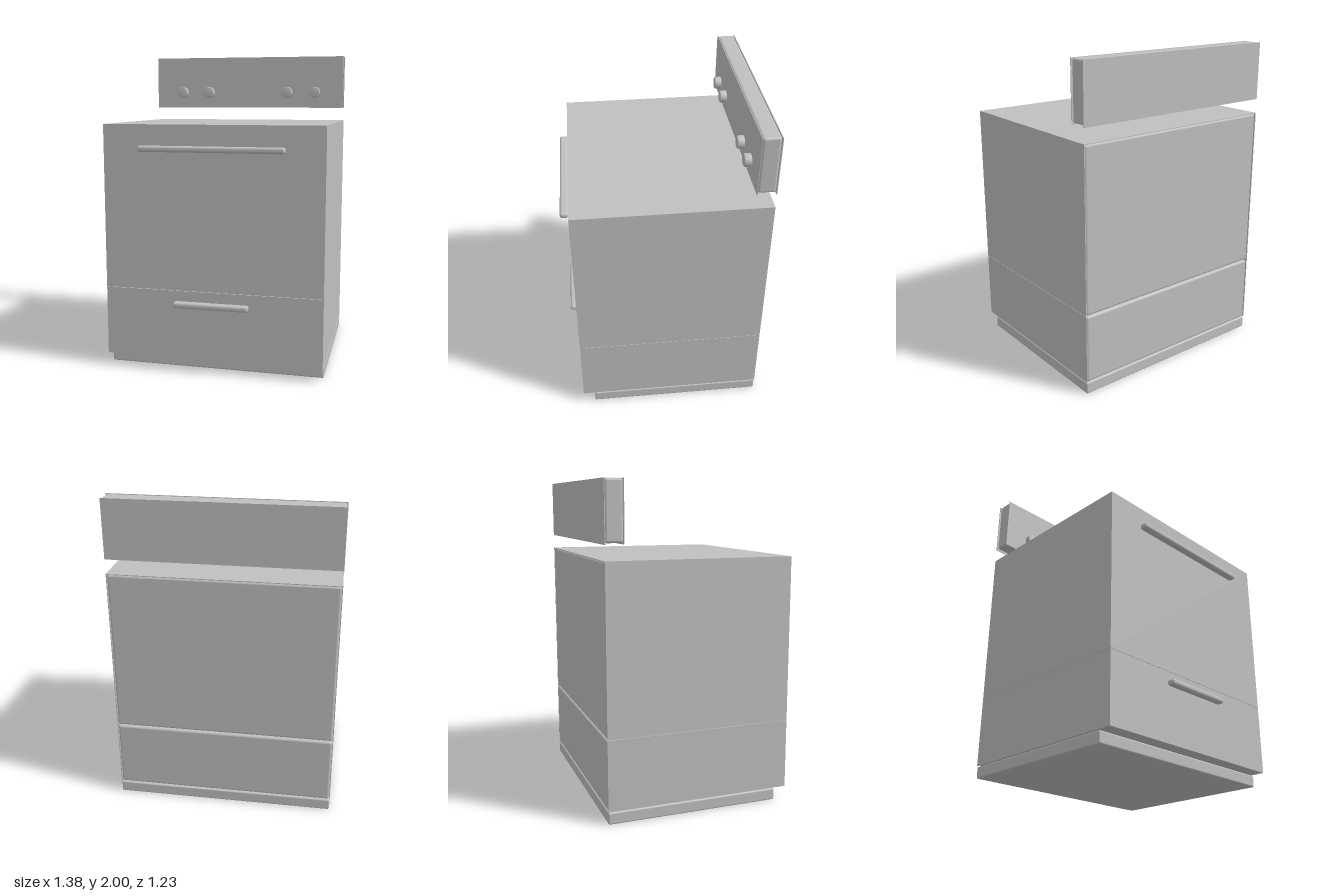
import * as THREE from 'three';
import { RoundedBoxGeometry } from 'three/addons/geometries/RoundedBoxGeometry.js';

export function createModel() {
  const root = new THREE.Group();
  root.name = 'kitchenStove';
  const enamel = new THREE.MeshStandardMaterial({ color: 0xc0c0c0 });
  enamel.name = 'grey enamel';

  const add = (name, geometry, x, y, z, parent = root) => {
    const mesh = new THREE.Mesh(geometry, enamel);
    mesh.name = name;
    mesh.position.set(x, y, z);
    parent.add(mesh);
    return mesh;
  };
  // Boxes are given by their limits; radius 0 keeps the edges sharp
  const box = (name, [x0, x1], [y0, y1], [z0, z1], radius = 0, parent = root) => {
    const size = [x1 - x0, y1 - y0, z1 - z0];
    const geometry = radius ? new RoundedBoxGeometry(...size, 3, radius) : new THREE.BoxGeometry(...size);
    return add(name, geometry, (x0 + x1) / 2, (y0 + y1) / 2, (z0 + z1) / 2, parent);
  };

  const W = 0.69, T = 0.005, back = -0.613, front = 0.555;

  // Recessed plinth
  box('plinth', [-W, W], [0, 0.075], [back, 0.48], 0.01);

  // Drawer and oven: rounded carcass behind flat outer sheets
  for (const [name, y0, y1] of [['drawer', 0.08, 0.517], ['oven', 0.519, 1.548]]) {
    const unit = new THREE.Group();
    unit.name = name;
    root.add(unit);
    box(name + 'Carcass', [-W + T, W - T], [y0, y1 - T], [back, front - T], 0.015, unit);
    box(name + 'Front', [-W, W], [y0, y1], [front - T, front], 0, unit);
    for (const s of [-1, 1]) {
      const side = box(name + 'Side', [-T / 2, T / 2], [y0, y1], [back, front - T], 0, unit);
      side.position.x = s * (W - T / 2);
    }
  }
  box('cooktop', [-W + T, W - T], [1.548 - T, 1.548], [back, front - T]);

  // Door and drawer handles
  box('ovenHandle', [-0.455, 0.455], [1.383, 1.42], [0.561, 0.613], 0.015);
  box('drawerHandle', [-0.237, 0.237], [0.42, 0.457], [0.561, 0.613], 0.015);

  // Control panel: rounded core between two thin sheets
  const panel = new THREE.Group();
  panel.name = 'controlPanel';
  root.add(panel);
  box('panelCore', [-W + T, W - T], [1.646, 2], [back + T, -0.502], 0.015, panel);
  box('panelFace', [-W, W], [1.638, 2], [-0.502, -0.498], 0, panel);
  box('panelBack', [-W, W], [1.638, 2], [back, back + T], 0, panel);

  // Knobs with softened rims
  const profile = [[0, -0.022], [0.035, -0.022], [0.039, -0.018], [0.039, 0.017], [0.034, 0.022], [0, 0.022]]
    .map(([r, h]) => new THREE.Vector2(r, h));
  for (const x of [-0.49, -0.29, 0.29, 0.49]) {
    add('knob', new THREE.LatheGeometry(profile, 32), x, 1.748, -0.476, panel).rotation.x = Math.PI / 2;
  }
  return root;
}
